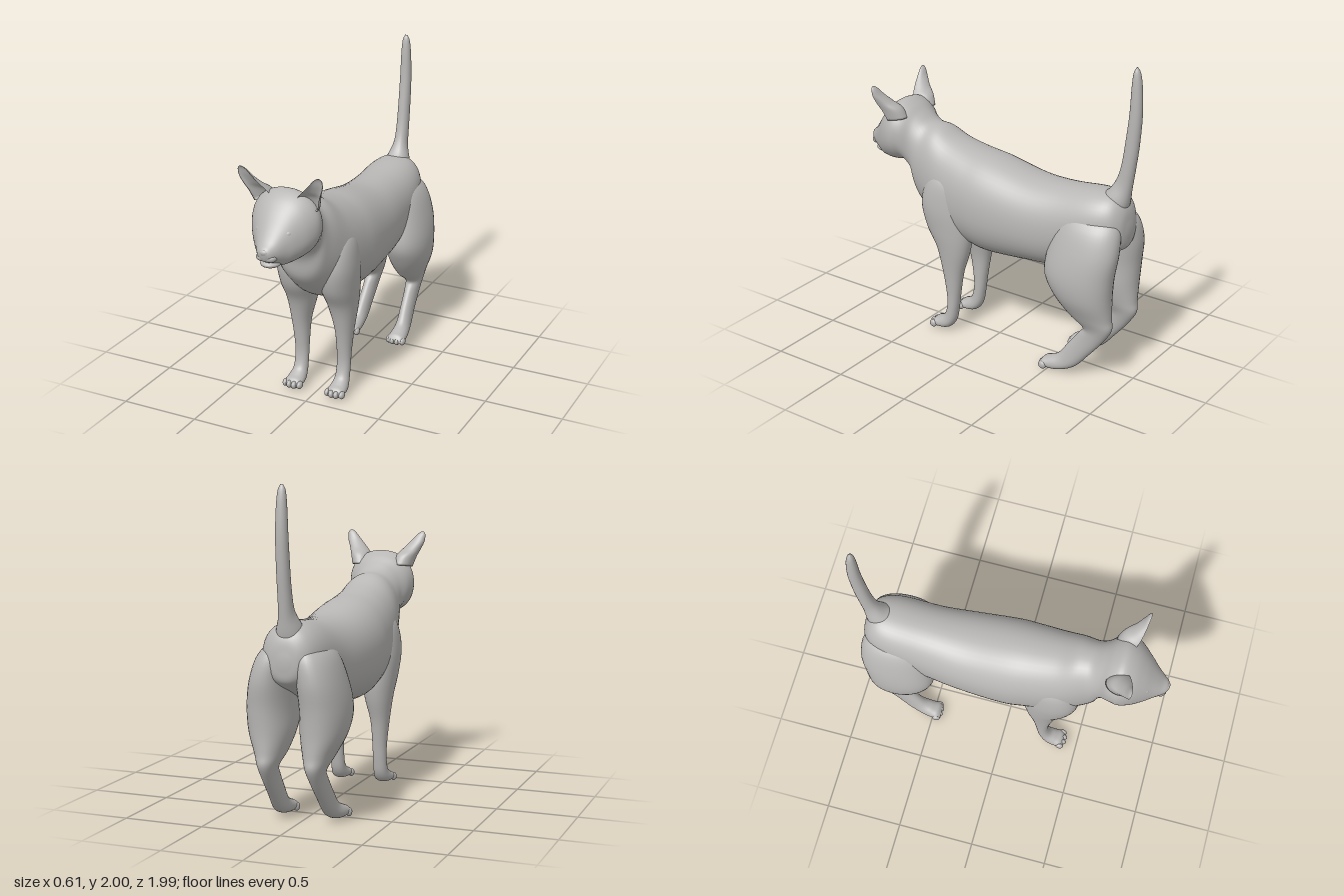
import * as THREE from 'three';

const coat = new THREE.MeshStandardMaterial({ color: 0xb8b7b5 });
coat.name = 'grey coat';

// Smooth skin through rings. Each ring: [zA, yA, zB, yB, centreX, halfWidth],
// where A and B are opposite points of the ring in the side plane.
// dent > 0 pushes the A side inwards, which makes a hollow shell.
function loft(name, rings, { side = 1, seg = 36, sub = 5, dent = 0, square = 0.92 } = {}) {
  const curve = (f) => new THREE.CatmullRomCurve3(rings.map(f), false, 'catmullrom', 0.5);
  const cA = curve((r) => new THREE.Vector3(0, r[1], r[0]));
  const cB = curve((r) => new THREE.Vector3(0, r[3], r[2]));
  const cX = curve((r) => new THREE.Vector3(r[4] * side, r[5], 0));
  const n = (rings.length - 1) * sub;
  const pos = [], idx = [];
  const soft = (v) => Math.sign(v) * Math.abs(v) ** square;
  const addRing = (t, scale) => {
    const A = cA.getPoint(t), B = cB.getPoint(t), X = cX.getPoint(t);
    const mid = A.clone().add(B).multiplyScalar(0.5);
    const half = A.sub(B).multiplyScalar(0.5 * scale);
    for (let j = 0; j < seg; j++) {
      const a = (j / seg) * Math.PI * 2;
      let c = soft(Math.cos(a));
      if (dent && c > 0) c *= -dent;
      pos.push(X.x + soft(Math.sin(a)) * Math.max(X.y, 0) * scale, mid.y + half.y * c, mid.z + half.z * c);
    }
  };
  addRing(0, 0);
  for (let i = 0; i <= n; i++) addRing(i / n, 1);
  addRing(1, 0);
  for (let i = 0; i < n + 2; i++) {
    for (let j = 0; j < seg; j++) {
      const a = i * seg + j, b = i * seg + (j + 1) % seg;
      idx.push(a, a + seg, b, b, a + seg, b + seg);
    }
  }
  const g = new THREE.BufferGeometry();
  g.setAttribute('position', new THREE.Float32BufferAttribute(pos, 3));
  g.setIndex(idx);
  g.computeVertexNormals();
  const mesh = new THREE.Mesh(g, coat);
  mesh.name = name;
  return mesh;
}

function ball(name, p, r) {
  const mesh = new THREE.Mesh(new THREE.SphereGeometry(1, 20, 14), coat);
  mesh.name = name;
  mesh.position.set(...p);
  mesh.scale.set(...r);
  return mesh;
}

export function createModel() {
  const cat = new THREE.Group();
  cat.name = 'cat';

  // Rump, trunk, neck and head in one skin (A = top, B = underside)
  cat.add(loft('bodyAndHead', [
    [-0.94, 1.02, -0.94, 0.96, 0, 0.03],
    [-0.92, 1.13, -0.925, 0.88, 0, 0.10],
    [-0.86, 1.2, -0.87, 0.84, 0, 0.16],
    [-0.74, 1.213, -0.74, 0.78, 0, 0.2],
    [-0.5, 1.19, -0.5, 0.66, 0, 0.22],
    [-0.27, 1.192, -0.27, 0.632, 0, 0.245],
    [0, 1.245, 0, 0.612, 0, 0.26],
    [0.16, 1.268, 0.14, 0.628, 0, 0.25],
    [0.31, 1.305, 0.33, 0.66, 0, 0.23],
    [0.42, 1.355, 0.47, 0.76, 0, 0.205],
    [0.51, 1.368, 0.57, 0.87, 0, 0.18],
    [0.58, 1.415, 0.605, 1.0, 0, 0.172],
    [0.64, 1.462, 0.66, 1.08, 0, 0.203],
    [0.705, 1.488, 0.72, 1.075, 0, 0.217],
    [0.775, 1.455, 0.79, 1.068, 0, 0.19],
    [0.84, 1.39, 0.86, 1.07, 0, 0.142],
    [0.9, 1.31, 0.905, 1.09, 0, 0.1],
    [0.95, 1.245, 0.95, 1.118, 0, 0.066],
    [0.983, 1.215, 0.978, 1.135, 0, 0.042],
    [0.997, 1.195, 0.99, 1.16, 0, 0.02],
  ], { seg: 48 }));

  // Tail, tip to root
  cat.add(loft('tail', [
    [-0.94, 2.0, -0.95, 1.998, 0, 0.008],
    [-0.925, 1.965, -0.967, 1.96, 0, 0.023],
    [-0.917, 1.88, -0.98, 1.87, 0, 0.031],
    [-0.91, 1.72, -0.986, 1.71, 0, 0.036],
    [-0.89, 1.54, -0.974, 1.52, 0, 0.038],
    [-0.87, 1.4, -0.955, 1.37, 0, 0.04],
    [-0.84, 1.3, -0.936, 1.24, 0, 0.046],
    [-0.79, 1.225, -0.918, 1.13, 0, 0.075],
    [-0.72, 1.18, -0.88, 1.04, 0, 0.09],
  ], { seg: 24 }));

  // Lower jaw and nose
  cat.add(ball('lowerJaw', [0, 1.102, 0.9], [0.062, 0.026, 0.068]));
  cat.add(ball('nose', [0, 1.192, 0.984], [0.027, 0.018, 0.016]));

  for (const side of [1, -1]) {
    const tag = side > 0 ? 'left' : 'right';

    // Hind leg, hip to toes
    cat.add(loft(tag + 'HindLeg', [
      [-0.62, 1.12, -0.86, 1.1, 0.08, 0.04],
      [-0.54, 1.03, -0.925, 1.01, 0.11, 0.11],
      [-0.49, 0.87, -0.942, 0.87, 0.147, 0.13],
      [-0.465, 0.7, -0.922, 0.71, 0.165, 0.14],
      [-0.52, 0.57, -0.912, 0.56, 0.162, 0.13],
      [-0.62, 0.44, -0.914, 0.44, 0.152, 0.088],
      [-0.725, 0.355, -0.918, 0.365, 0.15, 0.055],
      [-0.695, 0.3, -0.86, 0.27, 0.152, 0.043],
      [-0.625, 0.205, -0.77, 0.16, 0.156, 0.041],
      [-0.56, 0.118, -0.68, 0.06, 0.162, 0.045],
      [-0.5, 0.085, -0.58, 0.012, 0.168, 0.055],
      [-0.465, 0.07, -0.48, 0.004, 0.17, 0.058],
      [-0.445, 0.045, -0.445, 0.012, 0.17, 0.045],
    ], { side }));

    // Front leg, shoulder to toes
    cat.add(loft(tag + 'FrontLeg', [
      [0.36, 1.15, 0.24, 1.15, 0.12, 0.05],
      [0.44, 1.05, 0.18, 1.05, 0.14, 0.095],
      [0.48, 0.9, 0.15, 0.88, 0.147, 0.11],
      [0.45, 0.745, 0.13, 0.72, 0.14, 0.107],
      [0.375, 0.61, 0.145, 0.59, 0.142, 0.088],
      [0.33, 0.45, 0.185, 0.44, 0.15, 0.06],
      [0.305, 0.3, 0.21, 0.29, 0.148, 0.047],
      [0.3, 0.2, 0.225, 0.18, 0.147, 0.044],
      [0.32, 0.125, 0.245, 0.085, 0.147, 0.046],
      [0.36, 0.092, 0.29, 0.028, 0.148, 0.055],
      [0.395, 0.075, 0.365, 0.017, 0.148, 0.058],
      [0.415, 0.05, 0.41, 0.02, 0.148, 0.045],
    ], { side }));

    // Toes
    for (let i = 0; i < 4; i++) {
      const k = i - 1.5, back = Math.abs(k) * 0.012;
      cat.add(ball(tag + 'FrontToe', [side * (0.148 + k * 0.033), 0.04, 0.41 - back], [0.018, 0.025, 0.028]));
      cat.add(ball(tag + 'HindToe', [side * (0.17 + k * 0.033), 0.028, -0.457 - back], [0.018, 0.026, 0.028]));
    }

    // Ear, tip to root, hollow at the front
    cat.add(loft(tag + 'Ear', [
      [0.797, 1.61, 0.787, 1.61, 0.25, 0.01],
      [0.805, 1.59, 0.77, 1.592, 0.243, 0.028],
      [0.815, 1.545, 0.745, 1.55, 0.222, 0.046],
      [0.83, 1.49, 0.7, 1.5, 0.186, 0.06],
      [0.84, 1.44, 0.65, 1.46, 0.158, 0.068],
      [0.82, 1.37, 0.62, 1.4, 0.14, 0.066],
    ], { side, dent: 0.45 }));

    // Eye with lids
    const eye = ball(tag + 'Eye', [side * 0.092, 1.279, 0.861], [0.027, 0.022, 0.022]);
    eye.rotation.set(0, side * 0.7, side * 0.15);
    cat.add(eye);
    const lid = new THREE.Mesh(new THREE.TorusGeometry(0.027, 0.006, 8, 24), coat);
    lid.name = tag + 'Eyelid';
    lid.position.set(side * 0.094, 1.279, 0.866);
    lid.rotation.set(-0.25, side * 0.8, 0);
    lid.scale.y = 0.85;
    cat.add(lid);

    // Whisker pad
    cat.add(ball(tag + 'WhiskerPad', [side * 0.028, 1.153, 0.95], [0.036, 0.027, 0.036]));
  }
  return cat;
}
